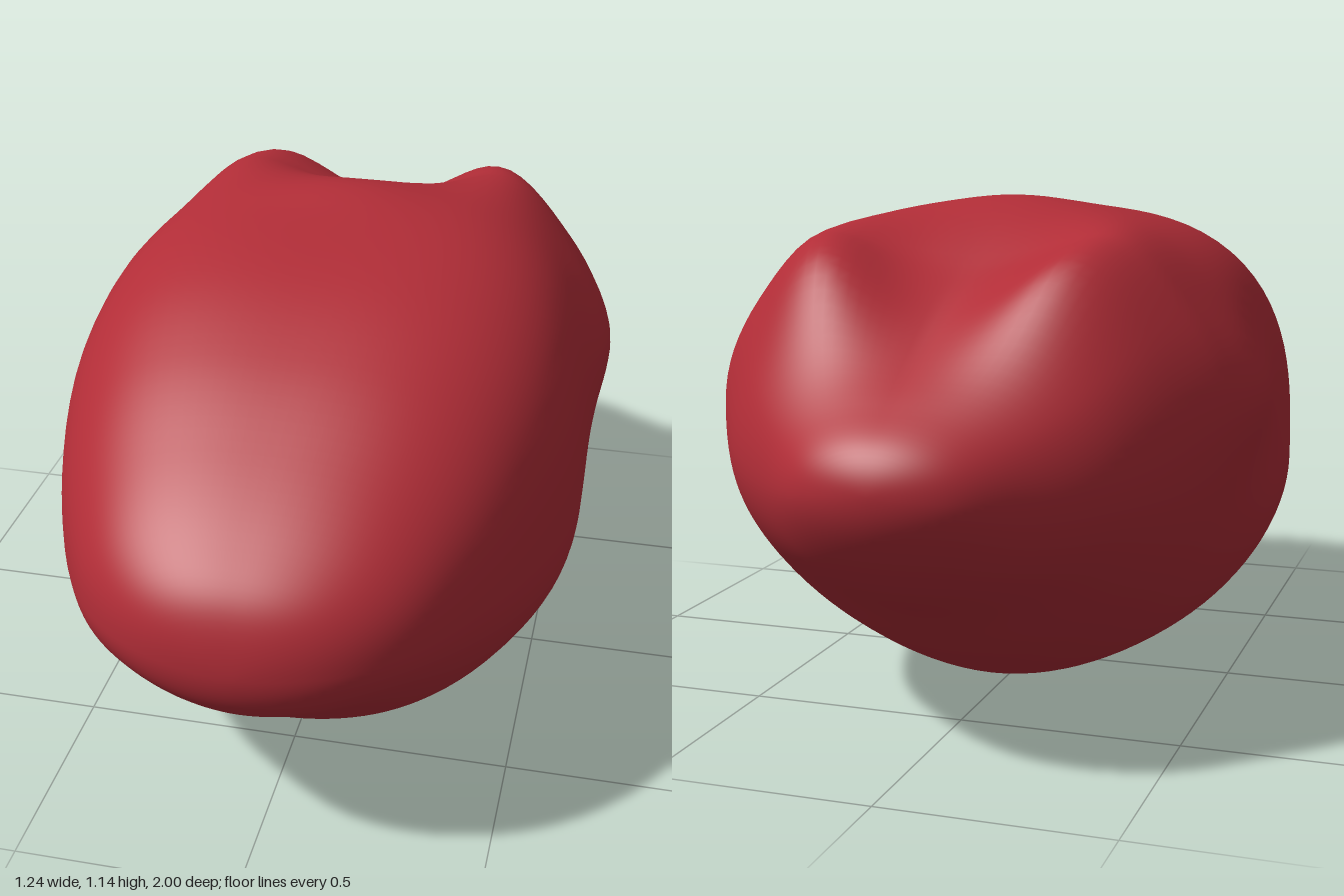
import * as THREE from 'three';

// Cross-sections from front to back, at equal steps of angle along the long axis:
// [top y, bottom y, half width, y of the widest line, squareness of the upper half]
const SECTIONS = [
  [0.55, 0.55, 0, 0.55, 2.4],
  [0.685, 0.445, 0.19, 0.56, 2.4],
  [0.785, 0.36, 0.335, 0.56, 2.5],
  [0.89, 0.215, 0.44, 0.55, 2.6],
  [1.0, 0.1, 0.53, 0.52, 2.8],
  [1.085, 0.03, 0.592, 0.49, 3.0],
  [1.12, 0.003, 0.598, 0.5, 3.15],
  [1.1, 0.035, 0.58, 0.6, 2.6],
  [0.98, 0.15, 0.542, 0.64, 2.4],
  [0.86, 0.295, 0.435, 0.62, 2.3],
  [0.775, 0.4, 0.275, 0.6, 2.2],
  [0.705, 0.515, 0.15, 0.61, 2.1],
  [0.62, 0.62, 0, 0.62, 2.1],
];

// Smooth blend of the sections at t in 0..1
function sectionAt(t) {
  const last = SECTIONS.length - 1;
  const i = Math.min(Math.floor(t * last), last - 1);
  const f = t * last - i;
  return SECTIONS[i].map((b, k) => {
    const c = SECTIONS[i + 1][k];
    const a = i > 0 ? SECTIONS[i - 1][k] : 2 * b - c;
    const d = i + 2 <= last ? SECTIONS[i + 2][k] : 2 * c - b;
    return b + 0.5 * f * (c - a + f * (2 * a - 5 * b + 4 * c - d + f * (3 * (b - c) + d - a)));
  });
}

const bell = (d, s) => Math.exp(-(d * d) / (2 * s * s));

// Soft lumps and dents on the surface
function sculpt(x, y, z, up) {
  const side = Math.abs(x);
  const top = THREE.MathUtils.smoothstep(up, 0, 0.55);
  const under = THREE.MathUtils.smoothstep(-up, 0, 0.6);
  const lumpX = Math.min(0.35, 0.33 + (z + 0.5) * 0.35);
  const backLump = 0.145 * bell(side - lumpX, 0.12) * bell(z + 0.58, z > -0.58 ? 0.2 : 0.12);
  const crown = 0.027 * bell(x, 0.13) * bell(z + 0.13, 0.09);
  const dent = 0.025 * bell(x, 0.18) * bell(z - 0.76, 0.07);
  const cheek = 0.05 * bell(y - 0.74, 0.1) * bell(z + 0.3, 0.16) * THREE.MathUtils.smoothstep(side, 0.3, 0.55);
  return [x + Math.sign(x) * cheek, y + top * (backLump + crown) + under * dent, z];
}

function bodyGeometry(rings = 96, around = 112) {
  const points = [0, 0.55, 1];
  const index = [];
  for (let i = 1; i < rings; i++) {
    const t = i / rings;
    const z = Math.cos(t * Math.PI);
    const [top, bottom, width, mid, square] = sectionAt(t);
    for (let j = 0; j < around; j++) {
      const a = (j / around) * Math.PI * 2;
      const c = Math.cos(a);
      const s = Math.sin(a);
      const n = s > 0 ? square : 1.92;
      const r = (Math.abs(c) ** n + Math.abs(s) ** n) ** (-1 / n);
      const height = s > 0 ? top - mid : mid - bottom;
      points.push(...sculpt(width * r * c, mid + height * r * s, z, s));
    }
  }
  points.push(0, 0.62, -1);
  const back = points.length / 3 - 1;
  const at = (i, j) => 1 + i * around + (j % around);
  for (let j = 0; j < around; j++) {
    index.push(0, at(0, j), at(0, j + 1));
    for (let i = 0; i < rings - 2; i++) {
      index.push(at(i, j), at(i + 1, j), at(i, j + 1));
      index.push(at(i, j + 1), at(i + 1, j), at(i + 1, j + 1));
    }
    index.push(back, at(rings - 2, j + 1), at(rings - 2, j));
  }
  const geometry = new THREE.BufferGeometry();
  geometry.setAttribute('position', new THREE.Float32BufferAttribute(points, 3));
  geometry.setIndex(index);
  geometry.computeVertexNormals();
  return geometry;
}

export function createModel() {
  const red = new THREE.MeshStandardMaterial({ color: 0xb12d37 });
  red.name = 'deep red';
  const body = new THREE.Mesh(bodyGeometry(), red);
  body.name = 'body';
  const group = new THREE.Group();
  group.name = 'smoothLump';
  group.add(body);
  return group;
}
